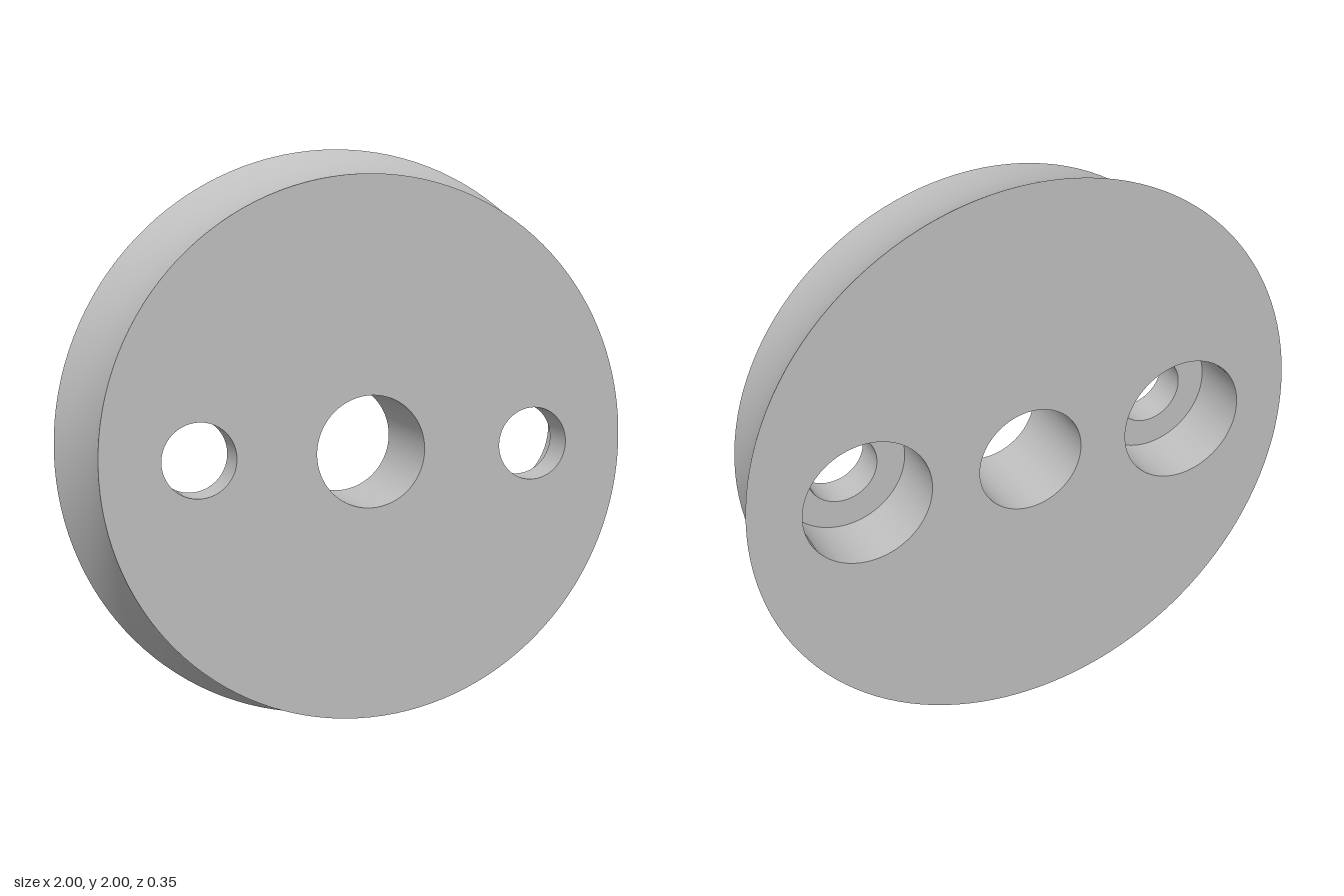
import * as THREE from 'three';

const HALF = 0.177;      // half thickness of the disc
const FRONT_R = 0.917;
const BACK_R = 1;
const CENTRE_R = 0.19;
const BOLT_X = 0.588;
const BOLT_R = 0.125;
const SINK_R = 0.226;    // counterbore opening at the back
const LEDGE_Z = 0.052;   // floor of the counterbore
const SEGMENTS = 128;

export function createModel() {
  const model = new THREE.Group();
  model.name = 'disc';
  const grey = new THREE.MeshStandardMaterial({ color: 0xbfbfbf });
  grey.name = 'grey';

  const add = (name, geometry, x = 0) => {
    const mesh = new THREE.Mesh(geometry, grey);
    mesh.name = name;
    mesh.position.set(x, 1, 0);
    model.add(mesh);
    return mesh;
  };

  // Surface turned about the z axis from [radius, z] points; rising z faces outward
  const turned = (points) =>
    new THREE.LatheGeometry(points.map(([r, z]) => new THREE.Vector2(r, z)), SEGMENTS)
      .rotateX(Math.PI / 2);

  // Flat round face with a centre hole and two bolt holes
  const face = (radius, boltRadius) => {
    const shape = new THREE.Shape().absarc(0, 0, radius, 0, Math.PI * 2);
    for (const [x, r] of [[0, CENTRE_R], [-BOLT_X, boltRadius], [BOLT_X, boltRadius]]) {
      shape.holes.push(new THREE.Path().absarc(x, 0, r, 0, Math.PI * 2, true));
    }
    return new THREE.ShapeGeometry(shape, SEGMENTS / 2).translate(0, 0, HALF);
  };

  add('frontFace', face(FRONT_R, BOLT_R));
  add('backFace', face(BACK_R, SINK_R).rotateY(Math.PI));

  // Concave rim: a circular arc, straight at the front and flaring toward the back
  const flare = BACK_R - FRONT_R;
  const depth = 2 * HALF;
  const arcR = (depth * depth + flare * flare) / (2 * flare);
  const sweep = Math.asin(depth / arcR);
  const rim = [];
  for (let i = 0; i <= 20; i++) {
    const a = sweep * (1 - i / 20);
    rim.push([FRONT_R + arcR * (1 - Math.cos(a)), HALF - arcR * Math.sin(a)]);
  }
  add('rim', turned(rim));

  // Straight centre bore
  add('centreBore', turned([[CENTRE_R, HALF], [CENTRE_R, -HALF]]));

  // Bolt holes, stepped wider from the back
  for (const [side, x] of [['left', BOLT_X], ['right', -BOLT_X]]) {
    add(side + 'BoltBore', turned([[BOLT_R, HALF], [BOLT_R, LEDGE_Z]]), x);
    add(side + 'BoltLedge', turned([[BOLT_R, LEDGE_Z], [SINK_R, LEDGE_Z]]), x);
    add(side + 'Counterbore', turned([[SINK_R, LEDGE_Z], [SINK_R, -HALF]]), x);
  }

  return model;
}
